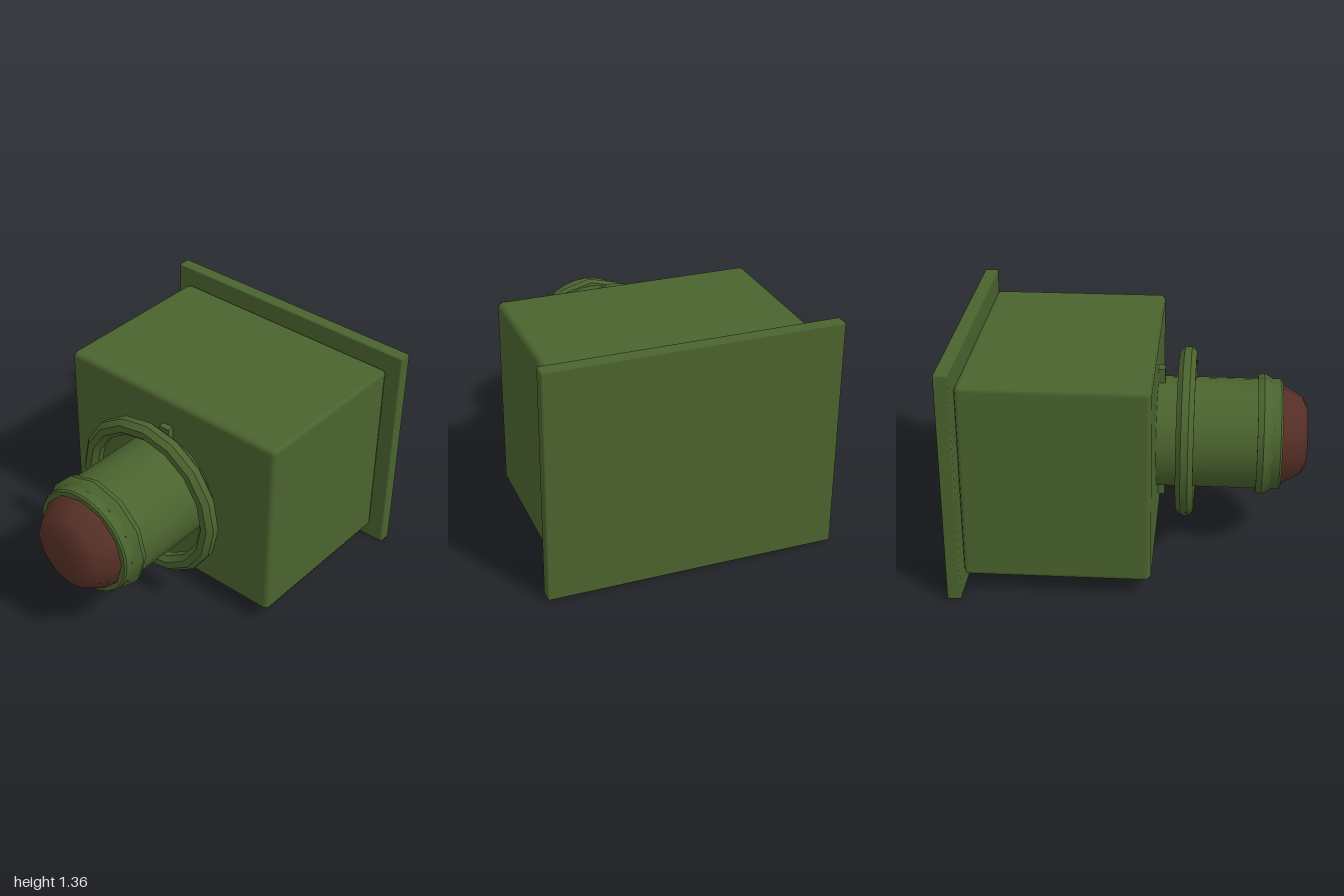
import * as THREE from 'three';
import { RoundedBoxGeometry } from 'three/addons/geometries/RoundedBoxGeometry.js';
import { toCreasedNormals } from 'three/addons/utils/BufferGeometryUtils.js';

const AXIS_Y = 0.683; // height of the barrel axis

export function createModel() {
  const group = new THREE.Group();
  const green = new THREE.MeshStandardMaterial({ color: 0x4a632e });
  green.name = 'olive green';
  const brown = new THREE.MeshStandardMaterial({ color: 0x562f26 });
  brown.name = 'dark brown';

  const add = (name, geometry, material, y, z) => {
    const mesh = new THREE.Mesh(geometry, material);
    mesh.name = name;
    mesh.position.set(0, y, z);
    group.add(mesh);
  };

  // Turned part around the z axis from [radius, z] pairs, back to front
  const turned = (name, profile, sides, material, crease = 0.6) => {
    const points = profile.map(([r, z]) => new THREE.Vector2(r, z));
    const geometry = new THREE.LatheGeometry(points, sides).rotateX(Math.PI / 2);
    add(name, toCreasedNormals(geometry, crease), material, AXIS_Y, 0);
  };

  // Back plate and main housing with bevelled edges
  add('backPlate', new RoundedBoxGeometry(1.676, 1.364, 0.08, 1, 0.009), green, 0.682, -0.96);
  add('housing', new RoundedBoxGeometry(1.506, 1.154, 1.052, 1, 0.03), green, AXIS_Y, -0.39);

  // Upright bar crossing behind the barrel
  add('crossBar', new THREE.BoxGeometry(0.068, 0.81, 0.06), green, AXIS_Y, 0.145);

  // Barrel
  turned('barrel', [[0.323, 0.1], [0.323, 0.842], [0.315, 0.853], [0, 0.853]], 32, green);

  // Raised band near the muzzle
  turned('muzzleBand', [[0.3, 0.71], [0.345, 0.71], [0.357, 0.745], [0.325, 0.8], [0.3, 0.81]], 12, green);

  // Loose ring with an octagonal section
  const ring = [];
  for (let i = 0; i <= 8; i++) {
    const a = (i + 0.5) * Math.PI / 4;
    ring.push([0.448 + 0.054 * Math.cos(a), 0.302 + 0.054 * Math.sin(a)]);
  }
  turned('floatingRing', ring, 16, green);

  // Blunt cap at the tip
  turned('tipCap', [[0.293, 0.84], [0.293, 0.855], [0.225, 0.972], [0.17, 1], [0, 1]], 12, brown, 1.1);

  return group;
}
